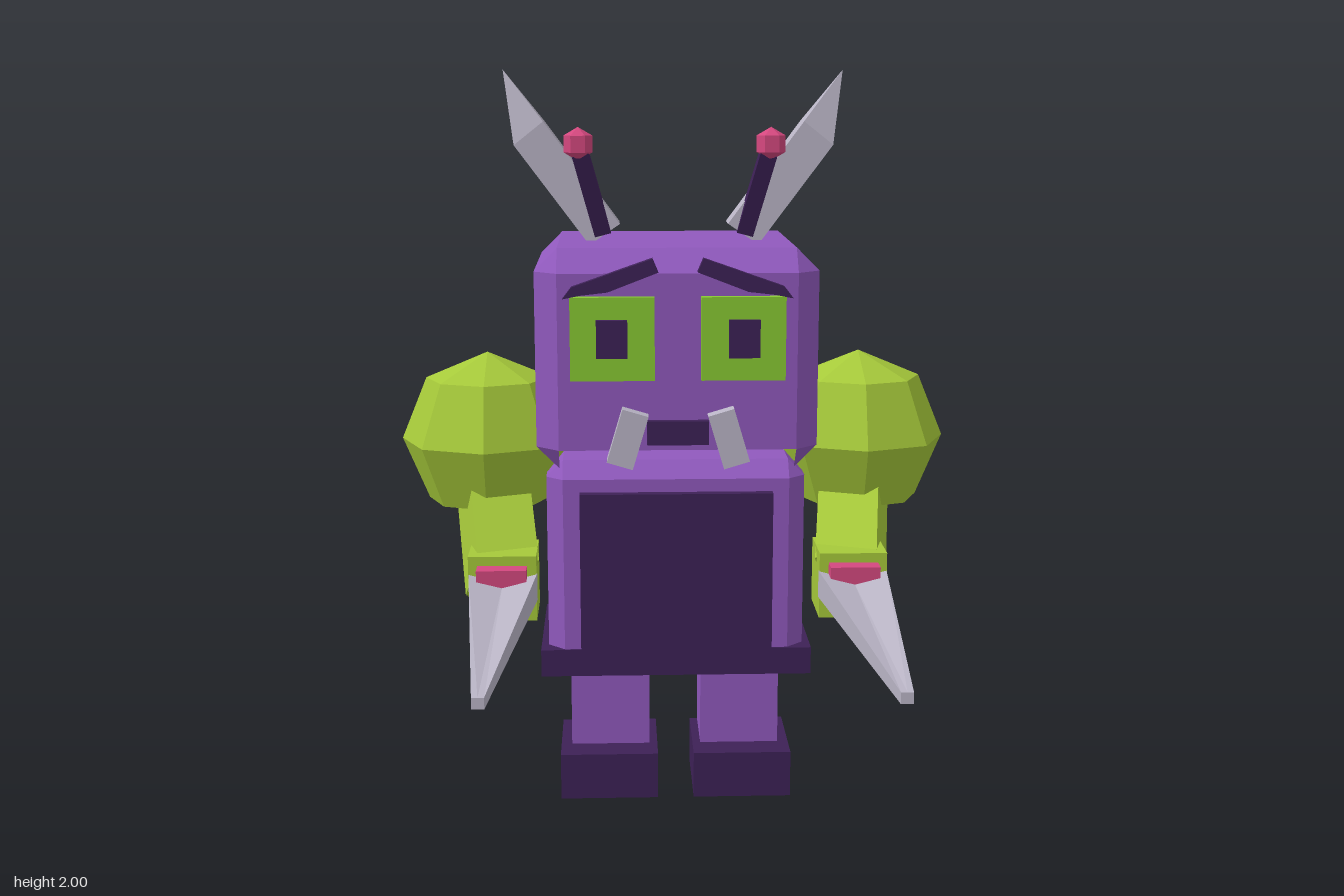
import * as THREE from 'three';

const mat = (name, color) => {
  const m = new THREE.MeshStandardMaterial({ color, flatShading: true, side: THREE.DoubleSide });
  m.name = name;
  return m;
};

// Skin a stack of equal-length point loops, with optional end caps
function loft(loops, capStart = true, capEnd = true, extra = []) {
  const pos = [];
  const tri = (...pts) => pts.forEach(p => pos.push(...p));
  const n = loops[0].length;
  for (let i = 0; i + 1 < loops.length; i++) {
    for (let j = 0; j < n; j++) {
      const k = (j + 1) % n;
      const [a, b, c, d] = [loops[i][j], loops[i][k], loops[i + 1][k], loops[i + 1][j]];
      tri(a, b, c);
      tri(a, c, d);
    }
  }
  const cap = (loop, flip) => {
    const mid = [0, 1, 2].map(k => loop.reduce((s, p) => s + p[k], 0) / n);
    loop.forEach((p, j) => {
      const q = loop[(j + 1) % n];
      flip ? tri(mid, q, p) : tri(mid, p, q);
    });
  };
  if (capStart) cap(loops[0], true);
  if (capEnd) cap(loops[loops.length - 1], false);
  extra.forEach(t => tri(...t));
  const g = new THREE.BufferGeometry();
  g.setAttribute('position', new THREE.Float32BufferAttribute(pos, 3));
  g.computeVertexNormals();
  return g;
}

// Chamfered shell, open below, with pointed corner tabs at the bottom
function chamferShell(w, z0, z1, y0, y1, c) {
  const cz = (z0 + z1) / 2, d = (z1 - z0) / 2, a = w - c, b = d - c;
  const ring = (y, W, D) => [[W, b], [W, -b], [a, -D], [-a, -D], [-W, -b], [-W, b], [-a, D], [a, D]]
    .map(([x, z]) => [x, y, cz + z]);
  const base = ring(y0, w, d);
  const tips = [1, 3, 5, 7].map(j => {
    const p = base[j], q = base[(j + 1) % 8];
    return [[Math.sign(p[0]) * a, y0 - c, cz + Math.sign(p[2] - cz) * b], q, p];
  });
  return loft([base, ring(y1 - c, w, d), ring(y1, a, b)], false, true, tips);
}

// Box given by its limits; openBottom drops the lower face
function box(x0, x1, y0, y1, z0, z1, openBottom = false) {
  const ring = y => [[x1, y, z1], [x1, y, z0], [x0, y, z0], [x0, y, z1]];
  return loft([ring(y0), ring(y1)], !openBottom, true);
}

// Move a shape that runs along y so that it spans two points
function span(geo, from, to) {
  const a = new THREE.Vector3(...from), b = new THREE.Vector3(...to);
  const q = new THREE.Quaternion().setFromUnitVectors(new THREE.Vector3(0, 1, 0), b.clone().sub(a).normalize());
  const mid = a.add(b).multiplyScalar(0.5);
  return geo.applyQuaternion(q).translate(mid.x, mid.y, mid.z);
}

// Reflected copy across x with corrected winding
function mirrored(geo) {
  const g = geo.index ? geo.toNonIndexed() : geo.clone();
  const p = g.attributes.position;
  const v = [];
  for (let i = 0; i < p.count; i += 3) {
    for (const k of [i, i + 2, i + 1]) v.push(-p.getX(k), p.getY(k), p.getZ(k));
  }
  const out = new THREE.BufferGeometry();
  out.setAttribute('position', new THREE.Float32BufferAttribute(v, 3));
  out.computeVertexNormals();
  return out;
}

export function createModel() {
  const model = new THREE.Group();
  model.name = 'hornedCreature';
  const purple = mat('purple', 0x9059bd);
  const dark = mat('darkPurple', 0x3d2156);
  const green = mat('limeGreen', 0xa6c93a);
  const eyeGreen = mat('eyeGreen', 0x88c933);
  const pink = mat('pink', 0xd4487f);
  const bone = mat('boneGrey', 0xbab5c6);

  const add = (name, geo, material) => {
    const m = new THREE.Mesh(geo, material);
    m.name = name;
    model.add(m);
  };
  const pair = (name, geo, material) => {
    add(name + 'Left', geo, material);
    add(name + 'Right', mirrored(geo), material);
  };

  // Head and body
  add('head', chamferShell(0.37, -0.79, -0.13, 1.03, 1.55, 0.06), purple);
  add('torso', chamferShell(0.35, -0.66, -0.25, 0.415, 0.97, 0.045), purple);
  add('bellyPanel', box(-0.26, 0.26, 0.45, 0.89, -0.26, -0.222), dark);
  add('belt', box(-0.37, 0.37, 0.375, 0.45, -0.68, -0.243, true), dark);
  pair('backBlock', box(0.105, 0.275, 0.715, 0.84, -0.79, -0.65), green);

  // Legs and feet
  pair('leg', box(0.072, 0.292, 0.1, 0.36, -0.56, -0.367), purple);
  pair('foot', box(0.05, 0.322, 0, 0.13, -0.563, -0.282, true), dark);

  // Face
  pair('eye', box(0.06, 0.277, 1.217, 1.432, -0.135, -0.103), eyeGreen);
  pair('pupil', box(0.13, 0.21, 1.277, 1.375, -0.11, -0.088), dark);
  const brow = [[0.05, 1.495], [0.18, 1.445], [0.25, 1.437], [0.295, 1.428], [0.272, 1.458], [0.065, 1.53]];
  pair('eyebrow', loft([-0.135, -0.103].map(z => brow.map(([x, y]) => [x, y, z]))), dark);
  add('mouth', box(-0.08, 0.08, 1.047, 1.11, -0.135, -0.108), dark);
  pair('tusk', new THREE.BoxGeometry(0.07, 0.145, 0.05)
    .rotateZ(0.29).translate(0.131, 1.067, -0.108), bone);

  // Horns: slanted prism with a steeper spike
  const hornRing = ([ox, oy], [ix, iy]) => [[ox, oy, -0.412], [ox, oy, -0.512], [ix, iy, -0.512], [ix, iy, -0.412]];
  const tip = [0.455, 2, -0.462];
  pair('horn', loft([
    hornRing([0.228, 1.538], [0.146, 1.594]),
    hornRing([0.427, 1.803], [0.348, 1.865]),
    [tip, tip, tip, tip],
  ], true, false), bone);

  // Antennae
  pair('antennaStalk', span(new THREE.BoxGeometry(0.045, 0.23, 0.045),
    [0.192, 1.57, -0.428], [0.25, 1.785, -0.368]), dark);
  pair('antennaBulb', new THREE.SphereGeometry(0.044, 6, 3).translate(0.255, 1.808, -0.358), pink);

  // Shoulders, arms and hands
  const r = 0.24, h = r * Math.SQRT1_2;
  const ball = [[0, -h], [h, -h], [r, 0], [h, h], [0, r]].map(([x, y]) => new THREE.Vector2(x, y));
  pair('shoulder', new THREE.LatheGeometry(ball, 8).translate(0.513, 1.002, -0.464), green);
  pair('arm', span(new THREE.BoxGeometry(0.165, 0.4, 0.175),
    [0.515, 0.93, -0.495], [0.468, 0.67, -0.19]), green);
  pair('hand', box(0.372, 0.55, 0.582, 0.757, -0.268, -0.092), green);
  pair('bladeCollar', box(0.396, 0.526, 0.61, 0.732, -0.1, -0.042), pink);

  // Blades: pinched cross-section tapering to a small square tip
  const bladeRing = (z, w, edge, waist) => [[w, -edge], [w, edge], [0, waist], [-w, edge], [-w, -edge], [0, -waist]]
    .map(([x, y]) => [0.46 + x, 0.673 + y, z]);
  pair('blade', loft([
    bladeRing(-0.1, 0.09, 0.036, 0.013),
    bladeRing(0.79, 0.014, 0.013, 0.013),
  ]), bone);

  return model;
}
